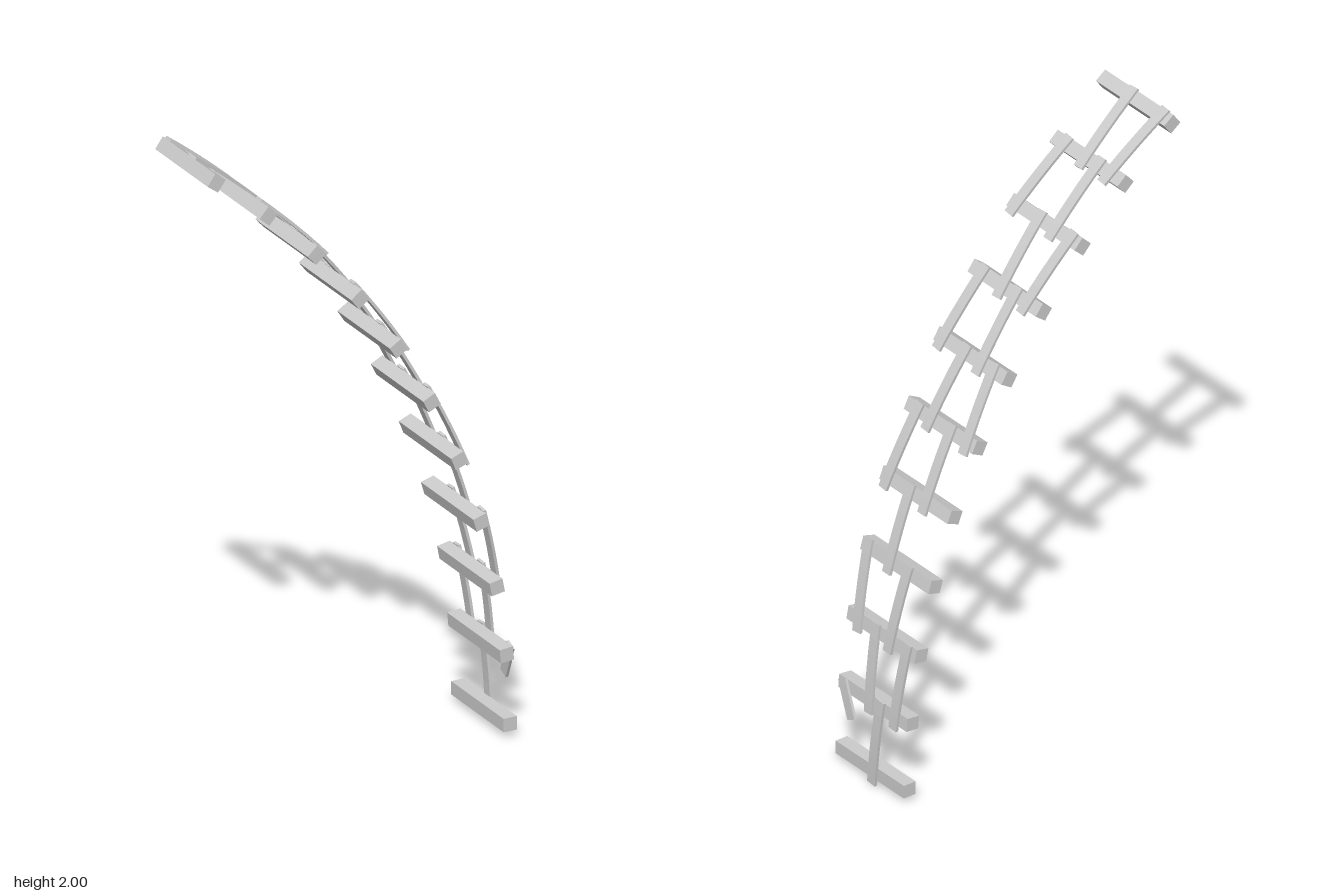
import * as THREE from 'three';

const R = 2.396, CX = -1.909, CY = 0.03;          // arc the ladder follows
const START = 0.23, STEP = 5.36, RUNGS = 11;      // rung angles in degrees
const rad = THREE.MathUtils.degToRad;
const arcLength = (deg) => R * rad(deg);
const rungAngle = (i) => START + STEP * i;

// Wraps a flat layout (x = outward, y = along the ladder, z = across) onto the arc
function bend(geometry) {
  const p = geometry.attributes.position;
  for (let i = 0; i < p.count; i++) {
    const a = p.getY(i) / R, r = R + p.getX(i);
    p.setXY(i, CX + r * Math.cos(a), CY + r * Math.sin(a));
  }
  geometry.computeVertexNormals();
  return geometry;
}

// Thin strip from (angle, z) to (angle, z) on the outer side of the rungs
function slatGeometry(a0, z0, a1, z1) {
  const y0 = arcLength(a0), y1 = arcLength(a1);
  const length = Math.hypot(y0 - y1, z0 - z1);
  const g = new THREE.BoxGeometry(0.009, length, 0.036, 1, 6, 1);
  g.rotateX(Math.atan2(z0 - z1, y0 - y1));
  g.translate(0.0255, (y0 + y1) / 2, (z0 + z1) / 2);
  return bend(g);
}

// For each gap, from the top down: [z at upper rung, z at lower rung]
const SLATS = [
  [[0.024, 0.005], [-0.127, -0.105]],
  [[0.105, 0.132], [-0.05, -0.053]],
  [[0.024, 0.008], [-0.127, -0.105]],
  [[0.105, 0.132], [-0.05, -0.053]],
  [[0.024, 0.047], [-0.107, -0.132]],
  [[0.105, 0.132], [-0.05, -0.053]],
  [[0.025, 0.025]],
  [[0.132, 0.103], [-0.06, -0.042]],
  [[0.025, 0.01], [-0.125, -0.105]],
  [[-0.04, -0.015]],
];

export function createModel() {
  const model = new THREE.Group();
  model.name = 'curvedLadder';
  const material = new THREE.MeshStandardMaterial({ color: 0xcccccc, flatShading: true });
  const add = (geometry, name) => {
    const mesh = new THREE.Mesh(geometry, material);
    mesh.name = name;
    model.add(mesh);
  };

  // Rungs
  for (let i = 0; i < RUNGS; i++) {
    const g = new THREE.BoxGeometry(0.044, 0.043, 0.325);
    g.translate(0, arcLength(rungAngle(i)), 0);
    add(bend(g), `rung${i + 1}`);
  }

  // Slats joining neighbouring rungs
  SLATS.forEach((pairs, k) => {
    const upper = RUNGS - 1 - k;
    pairs.forEach(([z0, z1], j) => {
      add(slatGeometry(rungAngle(upper) + 0.6, z0, rungAngle(upper - 1) - 0.9, z1), `slat${k + 1}_${j + 1}`);
    });
  });

  // Broken slat hanging from the second rung
  add(slatGeometry(6.0, 0.141, 3.35, 0.085), 'brokenSlat');

  return model;
}
